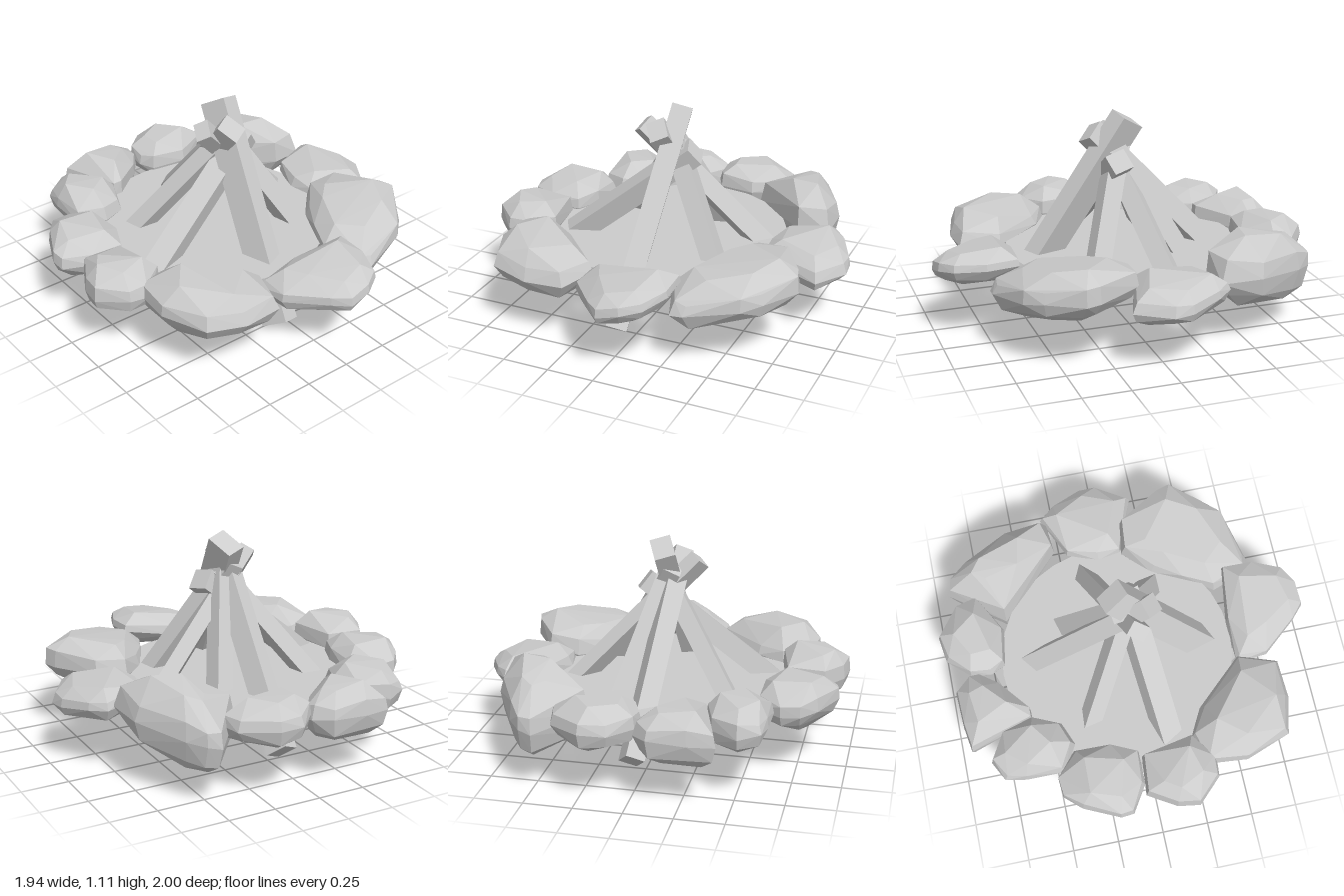
import * as THREE from 'three';
import { ConvexGeometry } from 'three/addons/geometries/ConvexGeometry.js';

const grey = new THREE.MeshStandardMaterial({ color: 0xcccccc, flatShading: true });
const groundGrey = new THREE.MeshStandardMaterial({ color: 0xcccccc, side: THREE.DoubleSide });

// small seeded noise in -0.5..0.5
let seed = 7;
const noise = () => {
  seed = (seed * 16807) % 2147483647;
  return seed / 2147483647 - 0.5;
};

// Faceted stone: plan outline [x, z, ...], height range, and tilt in x and z
function makeStone(outline, y0, y1, tiltX = 0, tiltZ = 0) {
  const n = outline.length / 2;
  let cx = 0, cz = 0;
  for (let i = 0; i < n; i++) {
    cx += outline[2 * i] / n;
    cz += outline[2 * i + 1] / n;
  }
  // rings: [height fraction, scale, jitter, outline step]
  const rings = [[0.03, 0.55, 0.2, 2], [0.2, 0.86, 0.14, 1], [0.45, 0.99, 0.02, 1], [0.7, 0.93, 0.1, 1], [0.97, 0.55, 0.25, 2]];
  const points = [];
  for (const [h, scale, jitter, step] of rings) {
    for (let i = 0; i < n; i += step) {
      const s = scale + noise() * jitter;
      const dx = (outline[2 * i] - cx) * s;
      const dz = (outline[2 * i + 1] - cz) * s;
      const y = y0 + (y1 - y0) * (h + noise() * 0.1) + dx * tiltX + dz * tiltZ;
      points.push(new THREE.Vector3(cx + dx, y, cz + dz));
    }
  }
  const mesh = new THREE.Mesh(new ConvexGeometry(points), grey);
  mesh.name = 'stone';
  return mesh;
}

// Square-cut log running from foot to head
function makeLog(foot, head, width, depth, twist) {
  const a = new THREE.Vector3(...foot);
  const b = new THREE.Vector3(...head);
  const mesh = new THREE.Mesh(new THREE.BoxGeometry(width, depth, a.distanceTo(b)), grey);
  mesh.position.copy(a).lerp(b, 0.5);
  mesh.lookAt(b);
  mesh.rotateZ(twist);
  mesh.name = 'log';
  return mesh;
}

export function createModel() {
  seed = 7;
  const model = new THREE.Group();
  model.name = 'campfire';

  // Ground disc
  const ground = new THREE.Mesh(new THREE.CircleGeometry(0.63, 32), groundGrey);
  ground.rotation.x = -Math.PI / 2;
  ground.position.set(-0.05, 0.36, -0.06);
  ground.name = 'groundDisc';
  model.add(ground);

  // Ring of stones, clockwise from the back
  const stones = new THREE.Group();
  stones.name = 'stoneRing';
  stones.add(
    makeStone([-0.03, -0.86, 0.08, -0.98, 0.22, -1, 0.39, -0.88, 0.41, -0.76, 0.2, -0.64, 0, -0.67, -0.04, -0.75], 0.27, 0.51),
    makeStone([0.48, -0.91, 0.55, -0.89, 0.62, -0.8, 0.76, -0.53, 0.77, -0.3, 0.6, -0.28, 0.46, -0.43, 0.26, -0.62, 0.4, -0.75], 0.18, 0.56, 0, 0.12),
    makeStone([0.81, -0.33, 0.88, -0.25, 0.96, -0.08, 0.97, 0.02, 0.86, 0.2, 0.7, 0.1, 0.53, 0.08, 0.51, -0.05, 0.57, -0.22], 0.26, 0.45, -0.06, -0.06),
    makeStone([0.52, 0.08, 0.69, 0.1, 0.83, 0.34, 0.85, 0.42, 0.73, 0.6, 0.64, 0.68, 0.37, 0.77, 0.3, 0.76, 0.22, 0.55, 0.3, 0.38, 0.38, 0.22],
      0.23, 0.5, 0.12, -0.08),
    makeStone([-0.23, 0.57, 0, 0.56, 0.3, 0.6, 0.3, 0.77, 0.24, 0.93, 0.14, 0.99, 0.02, 1, -0.06, 0.93, -0.22, 0.74], 0.29, 0.47, 0.15, -0.04),
    makeStone([-0.6, 0.23, -0.45, 0.31, -0.2, 0.58, -0.27, 0.79, -0.48, 0.8, -0.69, 0.75, -0.78, 0.5, -0.76, 0.28], 0.23, 0.51, -0.04),
    makeStone([-0.86, -0.07, -0.65, -0.05, -0.6, 0.23, -0.73, 0.34, -0.84, 0.33, -0.97, 0.2, -0.95, 0.08], 0.25, 0.51),
    makeStone([-0.78, -0.5, -0.68, -0.51, -0.54, -0.4, -0.56, -0.2, -0.62, -0.06, -0.8, -0.06, -0.94, -0.15, -0.95, -0.22, -0.86, -0.41], 0.25, 0.49),
    makeStone([-0.52, -0.84, -0.38, -0.75, -0.32, -0.58, -0.38, -0.43, -0.51, -0.38, -0.65, -0.46, -0.65, -0.67, -0.63, -0.78], 0.25, 0.5),
    makeStone([-0.44, -0.93, -0.3, -0.95, -0.1, -0.96, -0.02, -0.88, -0.02, -0.82, -0.1, -0.72, -0.28, -0.58, -0.33, -0.58, -0.35, -0.73], 0.23, 0.51),
  );
  model.add(stones);

  // Leaning logs, poking through the disc and crossing at the top
  const logs = new THREE.Group();
  logs.name = 'logPile';
  logs.add(
    makeLog([-0.08, 0.05, 0.57], [0.01, 1.06, -0.07], 0.11, 0.15, 0.5),
    makeLog([0.4, 0.18, 0.26], [-0.04, 0.95, -0.04], 0.1, 0.1, 0.7),
    makeLog([0.51, 0.27, -0.16], [-0.17, 0.98, 0.03], 0.08, 0.1, 0.7),
    makeLog([0.23, 0.17, -0.4], [-0.01, 0.93, 0.02], 0.1, 0.1, 0.7),
    makeLog([0.03, 0.13, -0.69], [-0.05, 0.99, 0.12], 0.1, 0.12, 0.6),
    makeLog([-0.46, 0.23, -0.33], [0.02, 0.9, 0.02], 0.09, 0.09, 0.7),
    makeLog([-0.56, 0.31, 0.12], [0.12, 0.86, 0.01], 0.12, 0.11, 0.25),
  );
  model.add(logs);
  return model;
}
